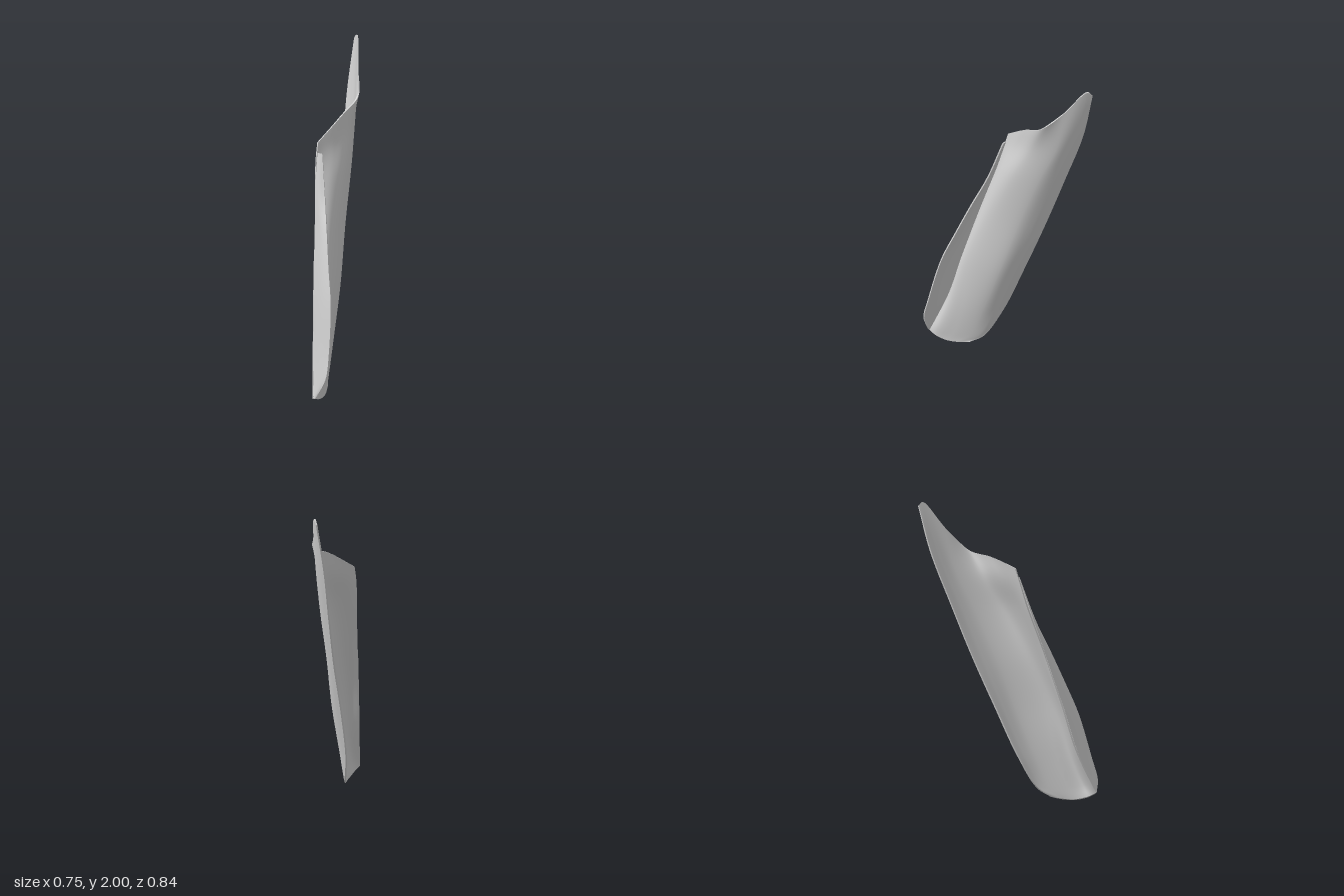
import * as THREE from 'three';

// Leaf cross-sections from base to tip; each runs from the back edge round the bulge to the front lip.
const LEAF = [
  [[.15, .02, .19], [.18, .01, .22], [.21, .004, .25], [.25, 0, .3], [.29, .01, .365], [.31, .03, .42]],
  [[.08, .07, .14], [.11, .072, .155], [.15, .075, .185], [.22, .085, .255], [.28, .09, .34], [.285, .09, .405]],
  [[-.02, .27, .07], [.035, .275, .08], [.1, .28, .11], [.19, .29, .205], [.235, .3, .29], [.21, .3, .35]],
  [[-.11, .6, -.035], [-.04, .6, -.025], [.04, .6, .01], [.15, .6, .155], [.175, .6, .24], [.14, .6, .295]],
  [[-.19, .95, -.15], [-.115, .95, -.13], [-.035, .95, -.085], [.065, .96, .05], [.09, .95, .14], [.06, .95, .22]],
  [[-.27, 1.3, -.25], [-.195, 1.3, -.235], [-.115, 1.3, -.195], [-.012, 1.3, -.065], [.008, 1.28, .045], [-.02, 1.25, .155]],
  [[-.347, 1.65, -.345], [-.285, 1.63, -.33], [-.2, 1.59, -.29], [-.085, 1.53, -.165], [-.05, 1.47, -.02], [-.05, 1.4, .125]],
  [[-.372, 1.97, -.42], [-.34, 2, -.412], [-.22, 1.83, -.325], [-.115, 1.71, -.245], [-.075, 1.63, -.09], [-.065, 1.5, .1]],
];

// Side flap cross-sections from base to top; each runs from the free edge to the leaf's front lip.
const FLAP = [
  [[.318, .035, .412], [.314, .032, .416], [.31, .03, .42]],
  [[.368, .16, .376], [.325, .13, .392], [.27, .12, .395]],
  [[.355, .3, .342], [.285, .3, .355], [.212, .3, .35]],
  [[.298, .6, .283], [.22, .6, .297], [.142, .6, .295]],
  [[.22, .8, .24], [.155, .8, .254], [.09, .8, .253]],
  [[.14, 1, .192], [.095, 1, .207], [.048, 1, .21]],
  [[.055, 1.2, .142], [.025, 1.2, .162], [-.005, 1.2, .17]],
  [[-.025, 1.44, .1], [-.04, 1.44, .11], [-.052, 1.44, .115]],
];

function makeGeometry(points, index) {
  const geometry = new THREE.BufferGeometry().setFromPoints(points);
  geometry.setIndex(index);
  geometry.computeVertexNormals();
  return geometry;
}

// Smooth thin sheet through the cross-sections, with an outer face, an inner face and a rim
function makeSheet(name, table, rows, cols, thickness, material) {
  const sections = table.map(s => s.map(p => new THREE.Vector3(...p)));
  const lengthwise = sections[0].map((_, k) =>
    new THREE.CatmullRomCurve3(sections.map(s => s[k]), false, 'centripetal'));
  const outer = [];
  for (let i = 0; i <= rows; i++) {
    const across = new THREE.CatmullRomCurve3(
      lengthwise.map(c => c.getPoint(i / rows)), false, 'centripetal');
    for (let j = 0; j <= cols; j++) outer.push(across.getPoint(j / cols));
  }
  const id = (i, j) => i * (cols + 1) + j;
  const faces = [];
  for (let i = 0; i < rows; i++) {
    for (let j = 0; j < cols; j++) {
      const a = id(i, j), b = id(i + 1, j), c = id(i, j + 1), d = id(i + 1, j + 1);
      faces.push(a, b, c, b, d, c);
    }
  }
  const outerGeometry = makeGeometry(outer, faces);

  // Inner face is the outer face moved in by the thickness
  const normals = outerGeometry.attributes.normal;
  const inner = outer.map((p, k) =>
    new THREE.Vector3().fromBufferAttribute(normals, k).multiplyScalar(-thickness).add(p));
  inner.forEach(p => { p.y = Math.max(p.y, 0); });

  // Narrow rim closing the sheet all the way round
  const loop = [];
  for (let j = 0; j < cols; j++) loop.push(id(0, j));
  for (let i = 0; i < rows; i++) loop.push(id(i, cols));
  for (let j = cols; j > 0; j--) loop.push(id(rows, j));
  for (let i = rows; i > 0; i--) loop.push(id(i, 0));
  const rimPoints = [], rimFaces = [];
  loop.forEach((k, m) => {
    rimPoints.push(outer[k], inner[k]);
    const p = 2 * m, q = 2 * ((m + 1) % loop.length);
    rimFaces.push(p, q, p + 1, q, q + 1, p + 1);
  });

  const sheet = new THREE.Group();
  sheet.name = name;
  const parts = {
    OuterFace: outerGeometry,
    InnerFace: makeGeometry(inner, faces.slice().reverse()),
    Rim: makeGeometry(rimPoints, rimFaces),
  };
  for (const [part, geometry] of Object.entries(parts)) {
    const mesh = new THREE.Mesh(geometry, material);
    mesh.name = name + part;
    sheet.add(mesh);
  }
  return sheet;
}

export function createModel() {
  const group = new THREE.Group();
  group.name = 'curledLeaf';
  const material = new THREE.MeshStandardMaterial({ color: 0xcccccc });
  material.name = 'paleGrey';
  group.add(
    makeSheet('leaf', LEAF, 56, 40, 0.01, material),
    makeSheet('flap', FLAP, 42, 12, 0.008, material),
  );
  return group;
}
